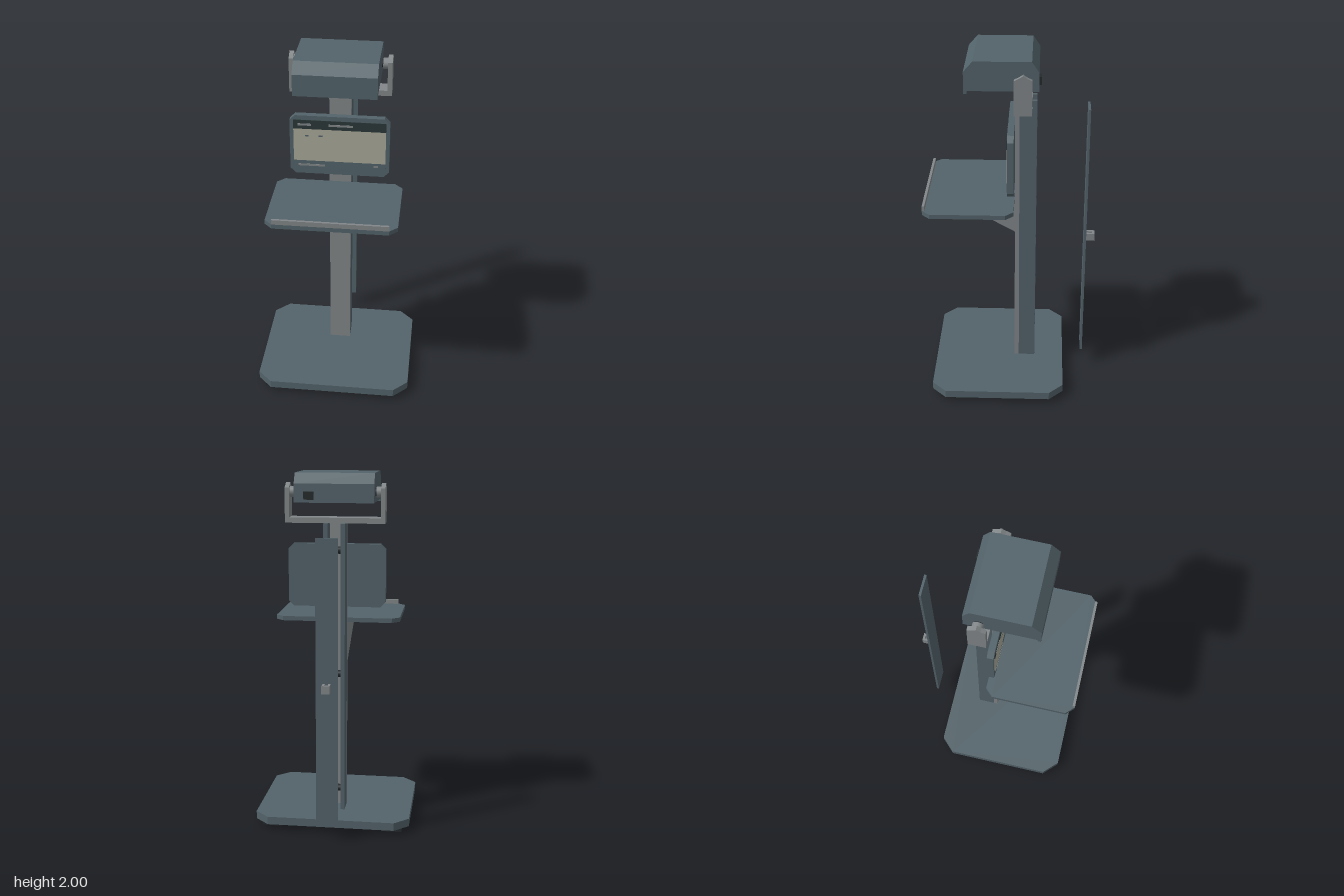
import * as THREE from 'three';

const material = (name, color) => {
  const m = new THREE.MeshStandardMaterial({ color });
  m.name = name;
  return m;
};

export function createModel() {
  const slate = material('slate', 0x53636a);
  const grey = material('light grey', 0x828789);
  const dark = material('dark rubber', 0x24292b);
  const header = material('display header', 0x2b3838);
  const cream = material('display cream', 0xaaaa9a);

  const model = new THREE.Group();
  model.name = 'kiosk';

  const add = (name, geometry, mat, parent = model) => {
    const mesh = new THREE.Mesh(geometry, mat);
    mesh.name = name;
    parent.add(mesh);
    return mesh;
  };

  // Box given by its min and max on each axis
  const box = (name, mat, [x0, x1], [y0, y1], [z0, z1], parent) => {
    const g = new THREE.BoxGeometry(x1 - x0, y1 - y0, z1 - z0);
    g.translate((x0 + x1) / 2, (y0 + y1) / 2, (z0 + z1) / 2);
    return add(name, g, mat, parent);
  };

  const extrude = (points, depth) => new THREE.ExtrudeGeometry(
    new THREE.Shape(points.map(([a, b]) => new THREE.Vector2(a, b))),
    { depth, bevelEnabled: false });

  // Rectangle with cut corners
  const cutRect = (x0, x1, y0, y1, c) => [
    [x0 + c, y0], [x1 - c, y0], [x1, y0 + c], [x1, y1 - c],
    [x1 - c, y1], [x0 + c, y1], [x0, y1 - c], [x0, y0 + c]];

  // Horizontal slab with cut corners
  const slab = (x, z0, z1, c, y0, y1) =>
    extrude(cutRect(-x, x, -z1, -z0, c), y1 - y0).rotateX(-Math.PI / 2).translate(0, y0, 0);

  // Side profile of [z, y] points, extruded from x0 to x1
  const sideProfile = (points, x0, x1) =>
    extrude(points.map(([z, y]) => [-z, y]), x1 - x0).rotateY(Math.PI / 2).translate(x0, 0, 0);

  // Base and feet
  add('base', slab(0.44, -0.31, 0.45, 0.08, 0.03, 0.075), slate);
  for (const x of [-0.345, 0.345]) {
    for (const z of [-0.195, 0.345]) {
      box('foot', dark, [x - 0.055, x + 0.055], [0, 0.03], [z - 0.055, z + 0.055]);
    }
  }

  // Column: front plate, two side walls and cable clips in the open channel
  const column = new THREE.Group();
  column.name = 'column';
  model.add(column);
  box('columnFront', grey, [-0.06, 0.06], [0.075, 1.727], [-0.045, -0.02], column);
  for (const s of [-1, 1]) {
    box('columnWall', slate, [s * 0.048 - 0.012, s * 0.048 + 0.012], [0.075, 1.727], [-0.14, -0.045], column);
  }
  for (const y of [0.2, 0.88, 1.58]) {
    const clip = new THREE.CylinderGeometry(0.02, 0.02, 0.075, 10).rotateZ(Math.PI / 2).translate(0, y, -0.115);
    add('cableClip', clip, dark, column);
  }

  // Removed rear cover with its loop handle
  const cover = new THREE.Group();
  cover.name = 'rearCover';
  model.add(cover);
  box('coverPlate', slate, [-0.06, 0.06], [0.12, 1.68], [-0.429, -0.416], cover);
  for (const s of [-1, 1]) {
    box('handlePost', grey, [s * 0.0155 - 0.0065, s * 0.0155 + 0.0065], [0.855, 0.9], [-0.465, -0.429], cover);
  }
  box('handleGrip', grey, [-0.022, 0.022], [0.855, 0.9], [-0.478, -0.465], cover);

  // Shelf with front lip and gussets
  add('shelf', slab(0.355, -0.02, 0.475, 0.043, 1.16, 1.185), slate);
  box('shelfLip', grey, [-0.313, 0.313], [1.185, 1.212], [0.461, 0.475]);
  for (const s of [-1, 1]) {
    add('shelfGusset', sideProfile([[-0.02, 0.928], [-0.02, 1.16], [0.388, 1.16]].reverse(),
      s * 0.052 - 0.008, s * 0.052 + 0.008), grey);
  }

  // Display: housing and thin coloured panels
  const display = new THREE.Group();
  display.name = 'display';
  model.add(display);
  add('displayHousing', extrude(cutRect(-0.276, 0.276, 1.248, 1.604, 0.03), 0.036).translate(0, 0, -0.02), slate, display);
  const panel = (name, mat, x, y, z = 0.019) => box(name, mat, x, y, [0.015, z], display);
  panel('displayHeader', header, [-0.255, 0.255], [1.525, 1.578]);
  panel('displayPage', cream, [-0.255, 0.255], [1.33, 1.525]);
  panel('displayFooter', slate, [-0.255, 0.255], [1.275, 1.33]);
  // Small interface bars
  for (const [x0, x1, y] of [[-0.23, -0.155, 1.552], [-0.06, 0.075, 1.552],
    [-0.23, -0.08, 1.303], [0.19, 0.215, 1.312]]) {
    panel('displayBar', grey, [x0, x1], [y - 0.006, y + 0.006], 0.021);
  }
  for (const x of [-0.18, -0.105]) {
    panel('displayMark', slate, [x - 0.01, x + 0.01], [1.481, 1.489], 0.021);
  }

  // Yoke with pivots
  const yoke = new THREE.Group();
  yoke.name = 'yoke';
  model.add(yoke);
  box('yokeBar', grey, [-0.254, 0.254], [1.727, 1.757], [-0.115, -0.02], yoke);
  const armProfile = [[-0.02, 1.727], [-0.02, 1.918], [-0.045, 1.93], [-0.068, 1.945],
    [-0.09, 1.93], [-0.115, 1.918], [-0.115, 1.727]].reverse();
  for (const s of [-1, 1]) {
    add('yokeArm', sideProfile(armProfile, s * 0.265 - 0.012, s * 0.265 + 0.012), grey, yoke);
    const pivot = new THREE.CylinderGeometry(0.03, 0.03, 0.028, 12).rotateZ(Math.PI / 2);
    add('pivot', pivot.translate(s * 0.24, 1.895, -0.068), grey, yoke);
    const washer = new THREE.CylinderGeometry(0.022, 0.022, 0.012, 12).rotateZ(Math.PI / 2);
    add('pivotWasher', washer.translate(s * 0.224, 1.895, -0.068), dark, yoke);
  }

  // Head with sloped front and back edges
  const head = new THREE.Group();
  head.name = 'head';
  model.add(head);
  add('headShell', sideProfile([[-0.15, 1.84], [-0.15, 1.943], [-0.112, 2], [0.193, 2],
    [0.243, 1.943], [0.243, 1.84]], -0.22, 0.22), slate, head);
  box('headLip', slate, [-0.22, 0.22], [1.825, 1.84], [0.226, 0.243], head);
  box('headPort', dark, [0.11, 0.165], [1.857, 1.9], [-0.163, -0.15], head);

  return model;
}
